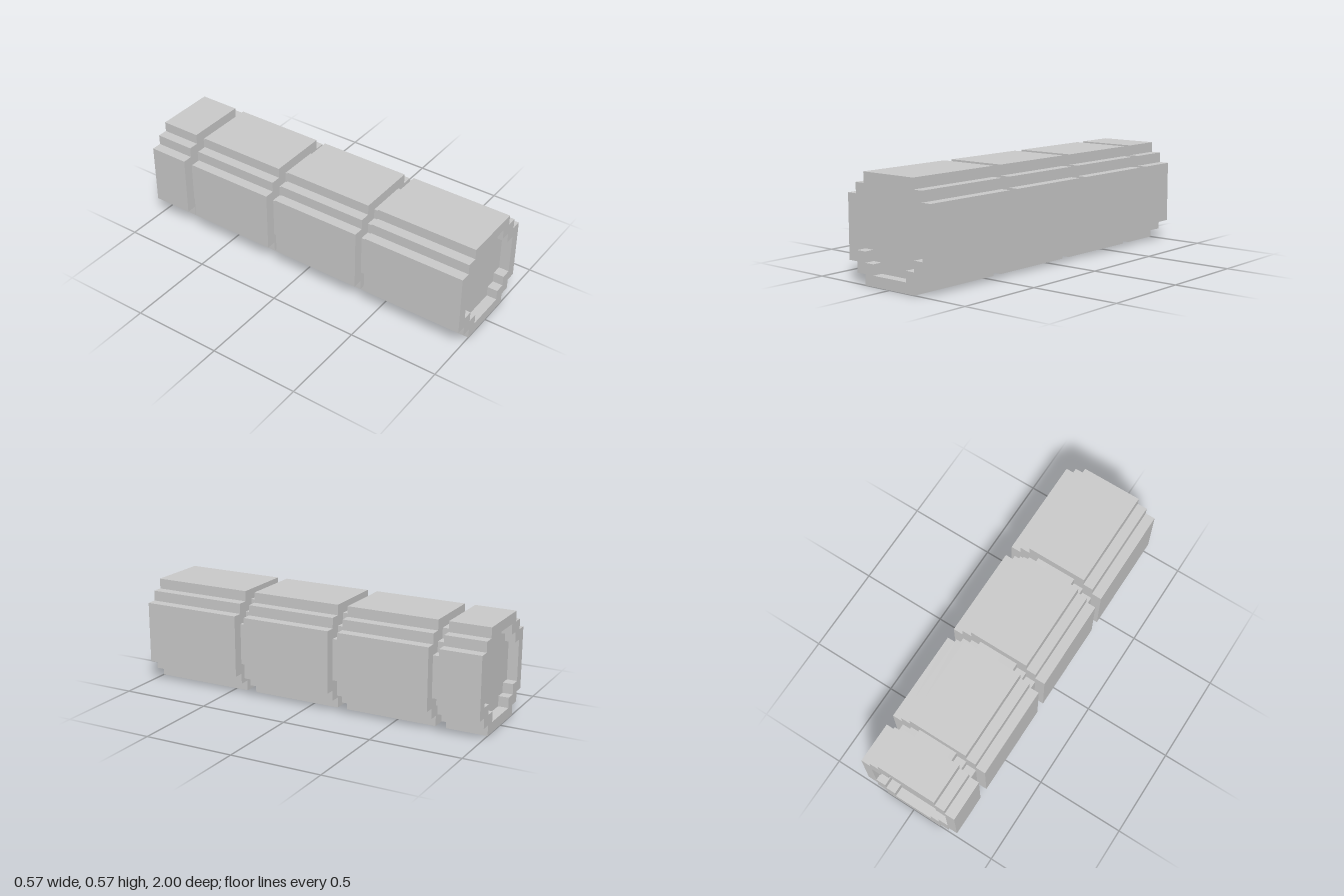
import * as THREE from 'three';

const U = 2 / 35; // one block of the grid

// Stepped round outline, r blocks in radius, centred on the origin
function outline(r, PathType) {
  const quarter = [[r, r - 2], [r - 1, r - 2], [r - 1, r - 1], [r - 2, r - 1], [r - 2, r]];
  const mirrored = quarter.map(([x, y]) => [-x, y]).reverse();
  const top = [...quarter, ...mirrored];
  const bottom = top.map(([x, y]) => [-x, -y]);
  return new PathType([...top, ...bottom].map(([x, y]) => new THREE.Vector2(x * U, y * U)));
}

export function createModel() {
  const group = new THREE.Group();
  const material = new THREE.MeshStandardMaterial({ color: 0xcccccc, flatShading: true });

  // Extrude a shape along z; start and length in blocks from the back end
  function addSection(name, shape, start, length) {
    const geometry = new THREE.ExtrudeGeometry(shape, { depth: length * U, bevelEnabled: false });
    const mesh = new THREE.Mesh(geometry, material);
    mesh.name = name;
    mesh.position.set(0, 5 * U, start * U - 1);
    group.add(mesh);
  }

  // Inner core, set one block in from both ends and seen in the grooves
  addSection('core', outline(4, THREE.Shape), 1, 33);

  // Outer sleeves, separated by grooves one block wide
  const sleeve = outline(5, THREE.Shape);
  sleeve.holes.push(outline(4, THREE.Path));
  let start = 0;
  [4, 9, 9, 10].forEach((length, i) => {
    addSection(`sleeve${i + 1}`, sleeve, start, length);
    start += length + 1;
  });

  return group;
}
